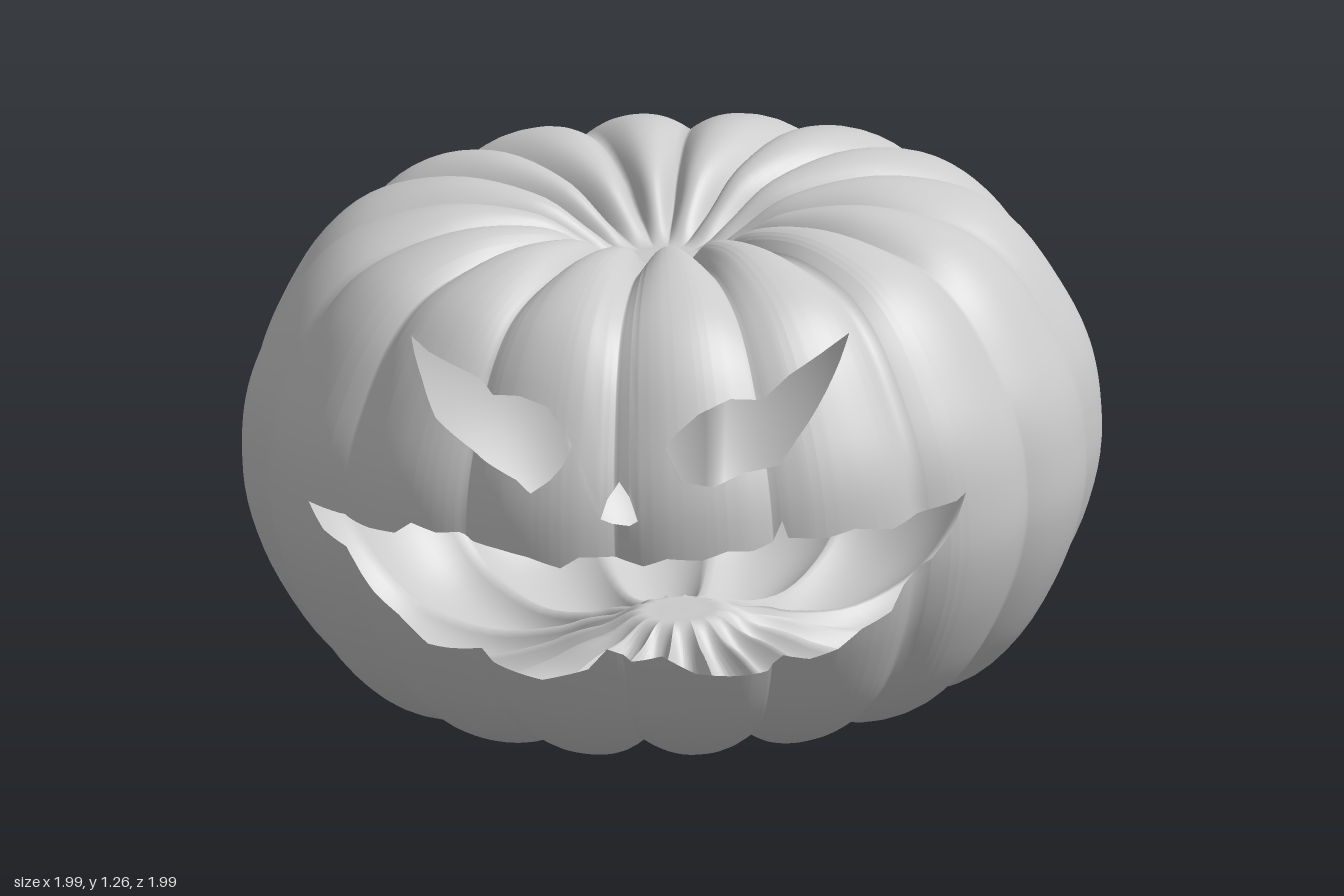
import * as THREE from 'three';
import { mergeVertices } from 'three/addons/utils/BufferGeometryUtils.js';

const { smoothstep, degToRad, lerp } = THREE.MathUtils;
const pairs = (a) => Array.from({ length: a.length / 2 }, (_, i) => [a[2 * i], a[2 * i + 1]]);

// Rib crest profile (radius, height) from the bottom dimple up to the top dimple
const profile = new THREE.SplineCurve(pairs([
  0, 0.2, 0.06, 0.2, 0.11, 0.195, 0.18, 0.13, 0.3, 0.065, 0.5, 0.035, 0.7, 0.085, 0.83, 0.19,
  0.93, 0.35, 0.985, 0.5, 1, 0.63, 0.985, 0.78, 0.93, 0.92, 0.83, 1.08, 0.7, 1.18, 0.5, 1.225,
  0.3, 1.195, 0.18, 1.12, 0.11, 1.07, 0.06, 1.065, 0, 1.065,
]).map(([r, y]) => new THREE.Vector2(r, y)));

// Groove directions, 0 = front, positive towards +x
const grooves = [-174, -153, -129, -108, -85, -63, -40, -18, 4, 26, 48, 70, 93, 118, 140, 163, 186].map(degToRad);

// Depth across a rib: 0 on its crest, 1 in the grooves
function grooveAmount(theta) {
  const a = theta < grooves[0] ? theta + 2 * Math.PI : theta;
  let i = 0;
  while (i < grooves.length - 2 && a > grooves[i + 1]) i++;
  const t = (a - grooves[i]) / (grooves[i + 1] - grooves[i]) * 2 - 1;
  return Math.pow(Math.abs(t), 2.3);
}

// Point of the slightly leaning skin at direction theta and profile position v
const lean = new THREE.Euler(0.07, 0, 0.03);
function skin(theta, v) {
  const p = profile.getPoint(v), t = profile.getTangent(v);
  const depth = (0.033 + 0.025 * (1 - smoothstep(p.x, 0.3, 0.9))) * smoothstep(p.x, 0.08, 0.25);
  const d = depth * grooveAmount(theta);
  const r = p.x - t.y * d, y = p.y + t.x * d;
  return new THREE.Vector3(r * Math.sin(theta), y - 0.63, r * Math.cos(theta))
    .applyEuler(lean).add(new THREE.Vector3(0, 0.63, 0));
}

// Finds [theta, v] of the front skin point seen at (x, y)
function locate([x, y]) {
  let theta = Math.asin(x), v = 0.5;
  for (let n = 0; n < 12; n++) {
    let lo = 0.27, hi = 0.73;
    for (let k = 0; k < 24; k++) {
      v = (lo + hi) / 2;
      if (skin(theta, v).y < y) lo = v; else hi = v;
    }
    const p = skin(theta, v);
    theta += (x - p.x) / Math.max(p.z, 0.3);
  }
  return [theta, v];
}

// Cut line around the whole body; flat behind the face
function cutLine(points) {
  const line = points.map(locate).sort((a, b) => a[0] - b[0]);
  return [[-Math.PI, 0.5], ...line, [Math.PI, 0.5]];
}

function heightAt(line, theta) {
  let i = 0;
  while (i < line.length - 2 && theta > line[i + 1][0]) i++;
  const [a, b] = [line[i], line[i + 1]];
  return lerp(a[1], b[1], (theta - a[0]) / Math.max(b[0] - a[0], 1e-9));
}

// Mouth: ragged upper and lower edges sharing both corners
const mouthCorners = [[-0.72, 0.615], [0.815, 0.69]];
const mouthTop = cutLine([...mouthCorners, ...pairs([
  -0.636, 0.604, -0.545, 0.6, -0.476, 0.604, -0.433, 0.636, -0.37, 0.62, -0.315, 0.626, -0.28, 0.61,
  -0.21, 0.604, -0.14, 0.594, -0.06, 0.572, -0.016, 0.6, 0.06, 0.6, 0.134, 0.583, 0.19, 0.604,
  0.27, 0.6, 0.326, 0.62, 0.38, 0.615, 0.42, 0.63, 0.44, 0.68, 0.455, 0.64, 0.54, 0.636,
  0.6, 0.652, 0.674, 0.636, 0.743, 0.663, 0.797, 0.674,
])]);
const mouthBottom = cutLine([...mouthCorners, ...pairs([
  -0.68, 0.556, -0.594, 0.5, -0.54, 0.44, -0.476, 0.396, -0.406, 0.33, -0.358, 0.326, -0.273, 0.33,
  -0.246, 0.3, -0.176, 0.283, -0.123, 0.273, -0.07, 0.29, -0.01, 0.31, 0.037, 0.364, 0.09, 0.33,
  0.166, 0.353, 0.24, 0.305, 0.316, 0.294, 0.39, 0.294, 0.428, 0.337, 0.487, 0.326, 0.55, 0.348,
  0.604, 0.396, 0.663, 0.428, 0.69, 0.49, 0.743, 0.54, 0.786, 0.6,
])]);

// Eyes and nose: corners shared by the upper and lower edges
const eyeNoseCorners = pairs([-0.475, 1.03, -0.043, 0.855, 0.032, 0.69, 0.12, 0.69, 0.177, 0.855, 0.545, 1.068]);
const eyeNoseTop = cutLine([...eyeNoseCorners, ...pairs([
  -0.42, 1.01, -0.29, 0.97, -0.25, 0.94, -0.18, 0.95, -0.11, 0.935, -0.064, 0.89,
  0.045, 0.735, 0.07, 0.775, 0.098, 0.743,
  0.2, 0.89, 0.246, 0.93, 0.31, 0.957, 0.38, 0.95, 0.433, 1.0, 0.497, 1.04,
])]);
const eyeNoseBottom = cutLine([...eyeNoseCorners, ...pairs([
  -0.43, 0.955, -0.385, 0.877, -0.33, 0.84, -0.25, 0.797, -0.17, 0.77, -0.134, 0.743, -0.09, 0.775, -0.06, 0.81,
  0.06, 0.677, 0.1, 0.677,
  0.22, 0.785, 0.29, 0.77, 0.353, 0.797, 0.428, 0.807, 0.465, 0.866, 0.508, 0.94, 0.538, 1.02,
])]);

// Three bands of skin: below the mouth, mouth to eyes, above the eyes
function createSkinGeometry() {
  const columns = [mouthTop, mouthBottom, eyeNoseTop, eyeNoseBottom].flat().map((p) => p[0]);
  for (let i = 0; i < 240; i++) columns.push((i / 120 - 1) * Math.PI);
  columns.push(...grooves.slice(0, -1));
  columns.sort((a, b) => a - b);
  const thetas = columns.filter((t, i) => i === 0 || t - columns[i - 1] > 1e-6);

  const bottom = [[-Math.PI, 0], [Math.PI, 0]], top = [[-Math.PI, 1], [Math.PI, 1]];
  const bands = [[bottom, mouthBottom, 40], [mouthTop, eyeNoseBottom, 14], [eyeNoseTop, top, 40]];
  const positions = [], index = [];
  for (const [lower, upper, rows] of bands) {
    const start = positions.length / 3;
    thetas.forEach((theta, i) => {
      const v0 = heightAt(lower, theta), v1 = heightAt(upper, theta);
      for (let j = 0; j <= rows; j++) {
        positions.push(...skin(theta, lerp(v0, v1, j / rows)).toArray());
        if (i === 0 || j === 0) continue;
        const d = start + i * (rows + 1) + j, c = d - 1, b = d - rows - 1, a = b - 1;
        index.push(a, c, b, c, d, b);
      }
    });
  }
  let geometry = new THREE.BufferGeometry();
  geometry.setAttribute('position', new THREE.Float32BufferAttribute(positions, 3));
  geometry.setIndex(index);
  geometry = mergeVertices(geometry, 1e-5);
  geometry.computeVertexNormals();
  geometry.computeBoundingBox();
  geometry.translate(0, -geometry.boundingBox.min.y, 0);
  return geometry;
}

export function createModel() {
  const group = new THREE.Group();
  group.name = 'carvedPumpkin';
  const material = new THREE.MeshStandardMaterial({ color: 0xcccccc, side: THREE.DoubleSide });
  const shell = new THREE.Mesh(createSkinGeometry(), material);
  shell.name = 'carvedShell';
  group.add(shell);
  return group;
}
